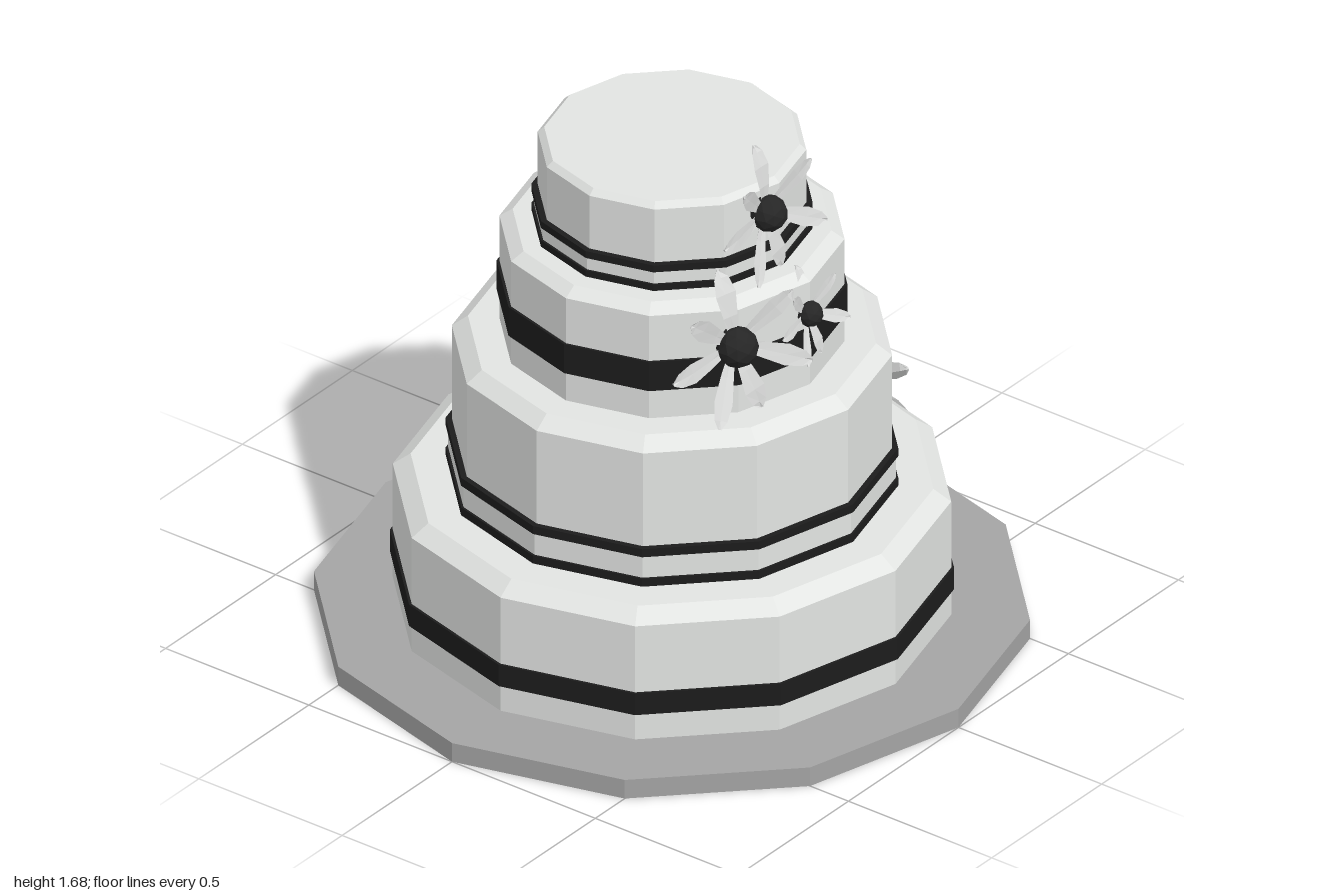
import * as THREE from 'three';

const mat = (name, color) => {
  const m = new THREE.MeshStandardMaterial({ color, flatShading: true });
  m.name = name;
  return m;
};

const SIDES = 12;

// Petal pattern: angle in degrees, relative length, outward rise
const PETALS = [
  [92, 1.0, -0.05], [33, 0.95, 0.2], [-24, 0.9, 0.4], [-76, 0.95, 0.1],
  [-120, 1.0, 0.3], [-170, 0.95, 0.12], [138, 0.92, 0.28],
];

// Stations along a petal: distance from centre, half width, half thickness, curl
const STATIONS = [
  [0.1, 0.05, 0.02, 0], [0.4, 0.1, 0.025, 0.03], [0.7, 0.14, 0.025, 0.02],
  [0.9, 0.1, 0.02, -0.02], [1.0, 0.025, 0.01, -0.05],
];

// Thin leaf-shaped loft with a diamond cross-section, pointing along +x
function petalGeometry(length, rise) {
  const pos = [], idx = [];
  for (const [t, w, h, curl] of STATIONS) {
    const x = t * length, z = rise * t * t * 1.1 + curl - 0.1;
    pos.push(x, -w, z + 0.03, x, 0, z + h, x, w, z + 0.03, x, 0, z - h);
  }
  const n = STATIONS.length;
  for (let i = 0; i < n - 1; i++) {
    for (let k = 0; k < 4; k++) {
      const a = i * 4 + k, b = i * 4 + (k + 1) % 4;
      idx.push(a, a + 4, b + 4, a, b + 4, b);
    }
  }
  const e = (n - 1) * 4;
  idx.push(0, 1, 2, 0, 2, 3, e, e + 2, e + 1, e, e + 3, e + 2);
  const g = new THREE.BufferGeometry();
  g.setAttribute('position', new THREE.Float32BufferAttribute(pos, 3));
  g.setIndex(idx);
  g.computeVertexNormals();
  return g;
}

export function createModel() {
  const model = new THREE.Group();
  model.name = 'tieredCake';
  const icing = mat('icing', 0xe2e4e2);
  const ribbon = mat('blackRibbon', 0x1c1c1c);
  const board = mat('boardGrey', 0xa4a4a4);
  const petalMat = mat('petalWhite', 0xdcdddc);
  petalMat.side = THREE.DoubleSide;
  const coreMat = mat('flowerCentreDark', 0x262626);

  const add = (name, geometry, material, parent = model) => {
    const m = new THREE.Mesh(geometry, material);
    m.name = name;
    parent.add(m);
    return m;
  };
  const disc = (name, r, y0, y1, material) => {
    add(name, new THREE.CylinderGeometry(r, r, y1 - y0, SIDES), material).position.y = (y0 + y1) / 2;
  };

  // Cake board
  disc('cakeBoard', 1, 0, 0.06, board);

  // Four tiers with bevelled tops: radius, bottom, wall top, top, top radius
  const tiers = [
    [0.78, 0.06, 0.425, 0.462, 0.73],
    [0.615, 0.46, 0.885, 0.92, 0.57],
    [0.482, 0.92, 1.25, 1.275, 0.445],
    [0.375, 1.27, 1.53, 1.547, 0.357],
  ];
  tiers.forEach(([r, y0, y1, y2, rTop], i) => {
    const profile = [[r, y0], [r, y1], [rTop, y2], [0, y2]].map(p => new THREE.Vector2(...p));
    add('tier' + (i + 1), new THREE.LatheGeometry(profile, SIDES), icing);
  });

  // Ribbons: single wide bands, and pairs of thin bands around a pale strip
  disc('lowerRibbon', 0.788, 0.143, 0.212, ribbon);
  disc('thirdTierRibbon', 0.49, 1.012, 1.105, ribbon);
  const doubleRibbon = (name, r, y0, y1, y2, y3) => {
    disc(name + 'Strip', r - 0.007, y1, y2, icing);
    disc(name + 'Bottom', r, y0, y1, ribbon);
    disc(name + 'Top', r, y2, y3, ribbon);
  };
  doubleRibbon('secondTierRibbon', 0.632, 0.465, 0.49, 0.56, 0.586);
  doubleRibbon('topTierRibbon', 0.393, 1.278, 1.298, 1.338, 1.36);

  // Flowers: position, facing direction, radius, twist in degrees
  const flowers = [
    [[0.4, 1.48, 0.08], [1, 0.05, 0.05], 0.205, 0],
    [[0.44, 1.155, 0.275], [0.92, 0.1, 0.35], 0.23, 4],
    [[0.49, 1.155, 0.01], [1, 0.15, -0.05], 0.145, -2],
    [[0.08, 0.46, -0.745], [0.15, 0.35, -1], 0.215, 20],
    [[-0.18, 0.665, -0.645], [-0.25, 0.25, -1], 0.165, 35],
    [[-0.15, 0.39, -0.77], [-0.25, 0.2, -1], 0.14, -15],
    [[0.19, 0.235, -0.76], [0.25, 0.05, -1], 0.135, 10],
  ];
  flowers.forEach(([p, dir, r, twist], i) => {
    const flower = new THREE.Group();
    flower.name = 'flower' + (i + 1);
    flower.position.set(...p);
    flower.lookAt(new THREE.Vector3(...p).add(new THREE.Vector3(...dir)));
    flower.scale.setScalar(r);
    add('flowerCentre', new THREE.IcosahedronGeometry(0.26, 1), coreMat, flower);
    for (const [angle, length, rise] of PETALS) {
      const petal = add('petal', petalGeometry(length, rise), petalMat, flower);
      petal.rotation.z = THREE.MathUtils.degToRad(angle + twist);
    }
    model.add(flower);
  });
  return model;
}
